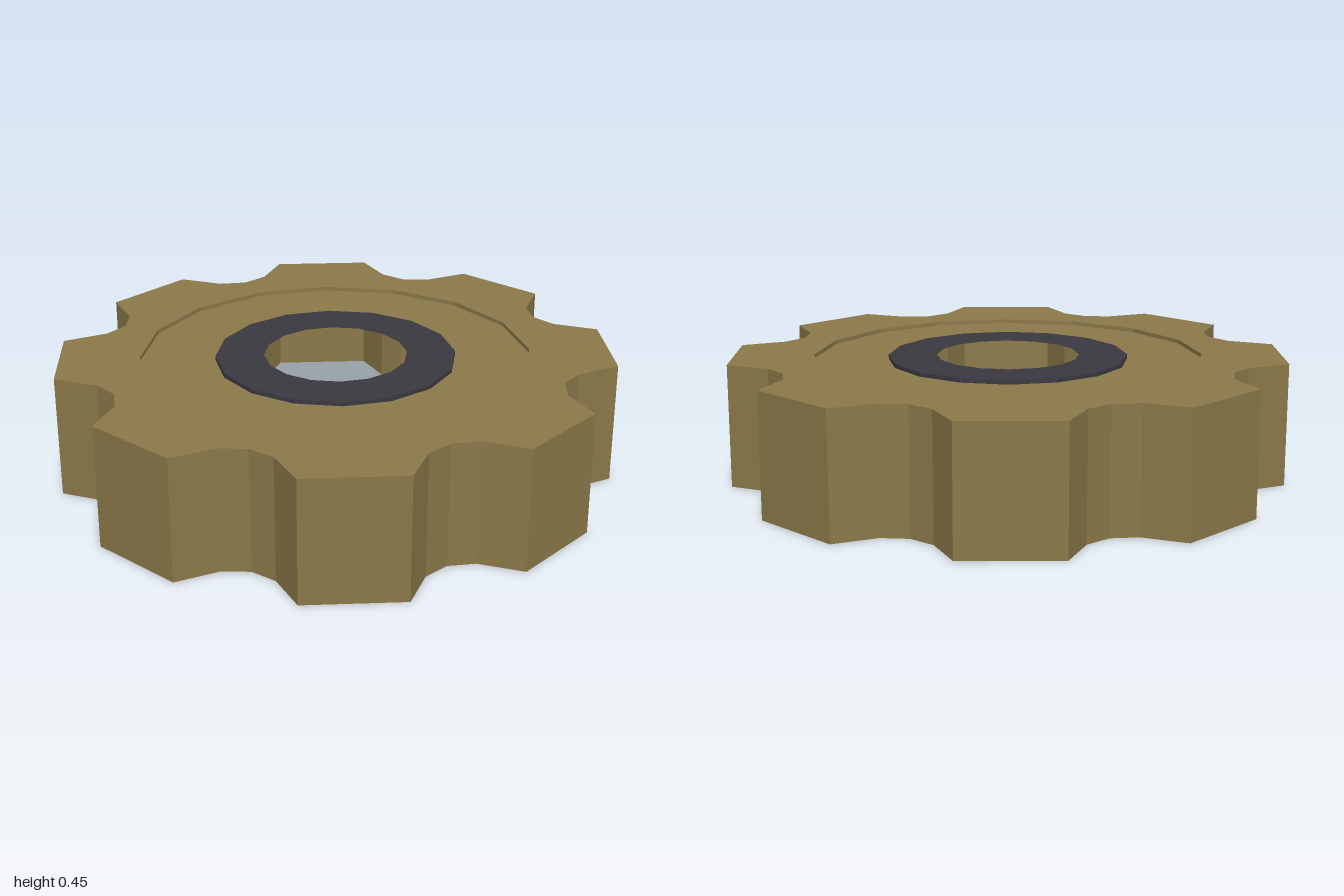
import * as THREE from 'three';

const HEIGHT = 0.45, RECESS = 0.435, TEETH = 8, SIDES = 16;
const RECESS_R = 0.71, RING_R = 0.437, HOLE_R = 0.26;

const knobBrown = new THREE.MeshStandardMaterial({ color: 0x8a7848, side: THREE.DoubleSide, flatShading: true });
knobBrown.name = 'knob brown';
const hubCharcoal = new THREE.MeshStandardMaterial({ color: 0x3a3840, side: THREE.DoubleSide, flatShading: true });
hubCharcoal.name = 'hub charcoal';

const polar = (r, a) => new THREE.Vector2(r * Math.sin(a), r * Math.cos(a));

// Lobed outline: flat-tipped teeth with a three-point scoop between them
function outlinePoints() {
  const tooth = [[1.016, -10.2], [1.016, 10.2], [0.88, 16.2], [0.845, 22.5], [0.88, 28.8]];
  const points = [];
  for (let i = 0; i < TEETH; i++) {
    for (const [r, deg] of tooth) {
      points.push(polar(r, THREE.MathUtils.degToRad(deg + i * 360 / TEETH)));
    }
  }
  return points;
}

// Thin open wall following the outline
function wallGeometry(points) {
  const positions = [];
  points.forEach((p, i) => {
    const q = points[(i + 1) % points.length];
    positions.push(
      p.x, 0, p.y, q.x, 0, q.y, q.x, HEIGHT, q.y,
      p.x, 0, p.y, q.x, HEIGHT, q.y, p.x, HEIGHT, p.y);
  });
  const geometry = new THREE.BufferGeometry();
  geometry.setAttribute('position', new THREE.Float32BufferAttribute(positions, 3));
  geometry.computeVertexNormals();
  return geometry;
}

// Faceted stepped disc, profile listed from outside to inside
function steppedDisc(profile) {
  const points = profile.map(([r, y]) => new THREE.Vector2(r, y));
  const geometry = new THREE.LatheGeometry(points, SIDES).toNonIndexed();
  geometry.computeVertexNormals();
  return geometry;
}

export function createModel() {
  const model = new THREE.Group();
  model.name = 'lobedKnob';
  const add = (name, geometry, material) => {
    const mesh = new THREE.Mesh(geometry, material);
    mesh.name = name;
    model.add(mesh);
  };

  const outline = outlinePoints();
  add('outerWall', wallGeometry(outline), knobBrown);

  // Top rim between the teeth and the recess
  const rim = new THREE.Shape(outline);
  const opening = [];
  for (let i = 0; i < SIDES; i++) opening.push(polar(RECESS_R, i * 2 * Math.PI / SIDES));
  rim.holes.push(new THREE.Path(opening));
  add('topRim', new THREE.ShapeGeometry(rim).rotateX(-Math.PI / 2).translate(0, HEIGHT, 0), knobBrown);

  // Shallow recess and the raised ring around the open centre
  add('recess', steppedDisc([[RECESS_R, HEIGHT], [RECESS_R, RECESS], [RING_R, RECESS]]), knobBrown);
  add('hubRing', steppedDisc([[RING_R, RECESS], [RING_R, HEIGHT], [HOLE_R, HEIGHT]]), hubCharcoal);

  return model;
}
